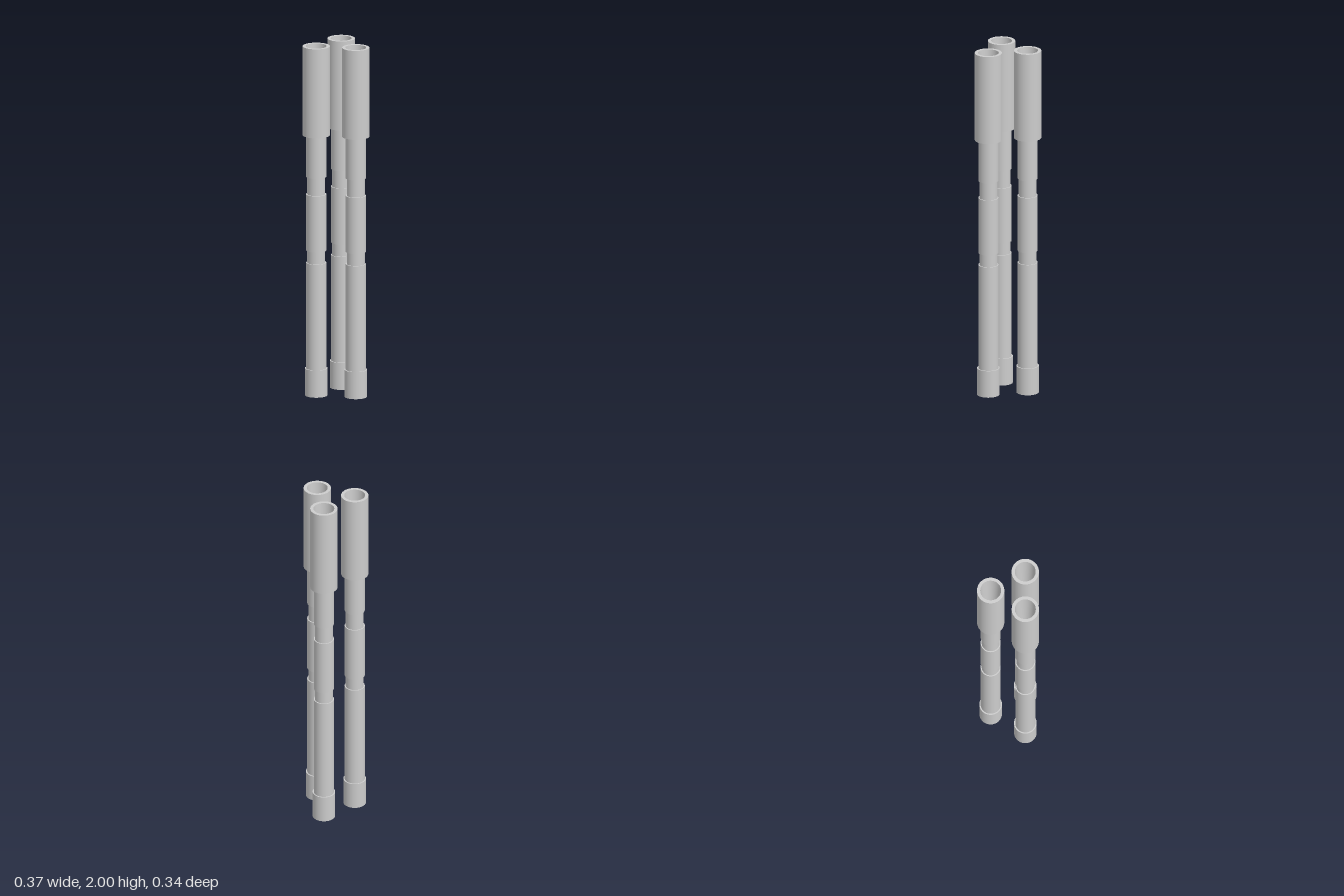
import * as THREE from 'three';

export function createModel() {
  const model = new THREE.Group();
  model.name = 'barrelCluster';
  const metal = new THREE.MeshStandardMaterial({ color: 0xcccccc, side: THREE.DoubleSide });
  metal.name = 'grey metal';

  // Each part is a [radius, height] profile, traced upward on the outside.
  const parts = {
    breechCollar: [[0.063, 0], [0.063, 0.155], [0.056, 0.155]],
    lowerBarrel: [[0.056, 0.155], [0.056, 0.76], [0.05, 0.76]],
    lowerGroove: [[0.05, 0.76], [0.05, 0.83], [0.056, 0.83]],
    middleBarrel: [[0.056, 0.83], [0.056, 1.152], [0.05, 1.152]],
    upperGroove: [[0.05, 1.152], [0.05, 1.252], [0.056, 1.252]],
    upperBarrel: [[0.056, 1.252], [0.056, 1.49], [0.076, 1.49]],
    muzzleSleeve: [[0.076, 1.49], [0.076, 2], [0.058, 2]],
    // Tapered bore with a flat floor
    muzzleBore: [[0.058, 2], [0.037, 1.5], [0, 1.5]],
  };

  // One two-point lathe per profile step keeps the edges sharp.
  const geometries = {};
  for (const [name, profile] of Object.entries(parts)) {
    geometries[name] = profile.slice(1).map((end, i) => new THREE.LatheGeometry(
      [new THREE.Vector2(...profile[i]), new THREE.Vector2(...end)], 48));
  }

  // Three identical barrels in a triangle
  const places = [['frontBarrel', 0, 0.096], ['leftBarrel', 0.111, -0.096], ['rightBarrel', -0.111, -0.096]];
  for (const [barrelName, x, z] of places) {
    const barrel = new THREE.Group();
    barrel.name = barrelName;
    barrel.position.set(x, 0, z);
    for (const [name, list] of Object.entries(geometries)) {
      const part = new THREE.Group();
      part.name = name;
      list.forEach((geometry, i) => {
        const mesh = new THREE.Mesh(geometry, metal);
        mesh.name = name + (i ? 'Step' : 'Wall');
        part.add(mesh);
      });
      barrel.add(part);
    }
    model.add(barrel);
  }
  return model;
}
